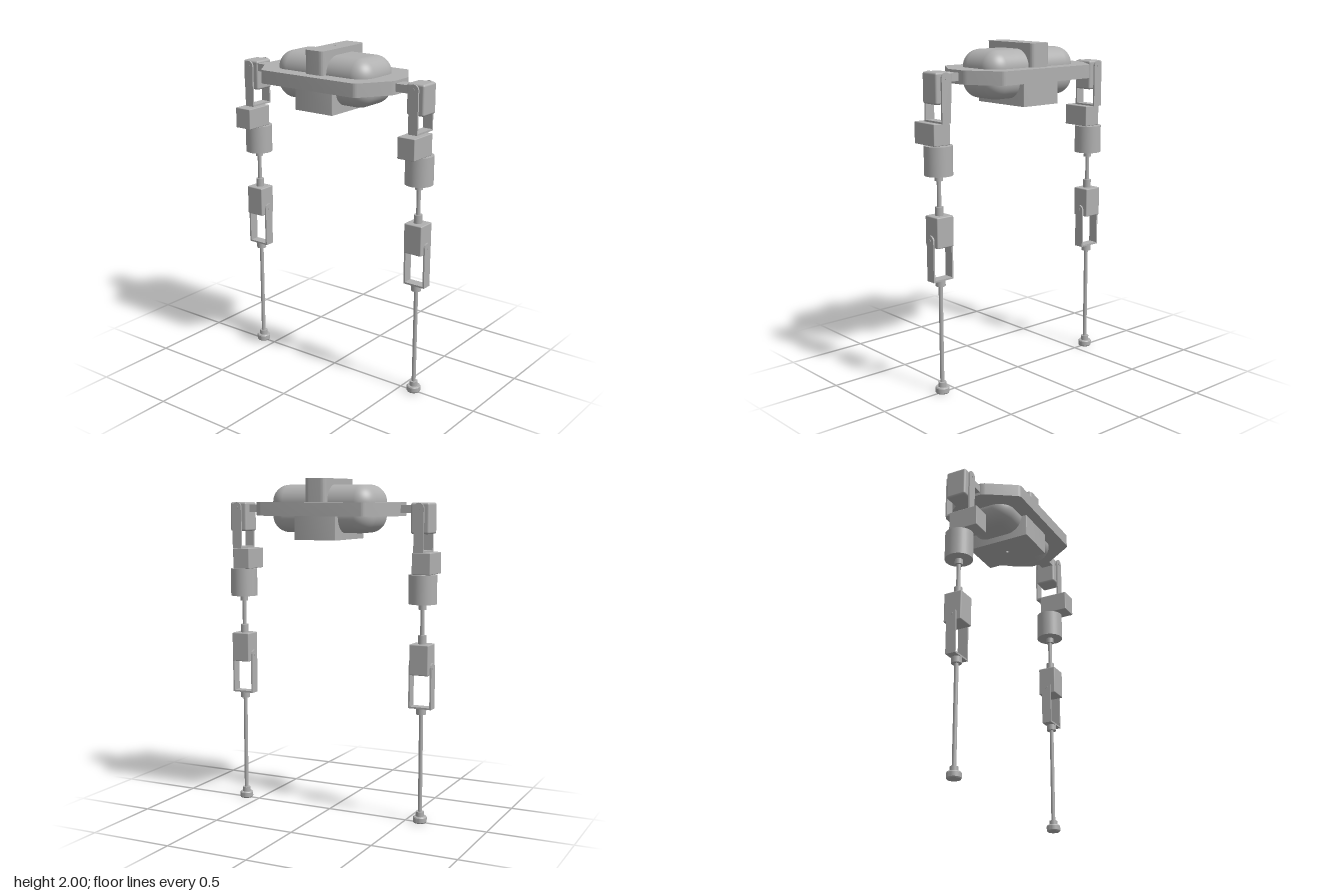
import * as THREE from 'three';
import { toCreasedNormals } from 'three/addons/utils/BufferGeometryUtils.js';
import { RoundedBoxGeometry } from 'three/addons/geometries/RoundedBoxGeometry.js';

const grey = new THREE.MeshStandardMaterial({ color: 0xb0b0b0 });
grey.name = 'grey';

function add(parent, name, geometry, x = 0, y = 0, z = 0) {
  const mesh = new THREE.Mesh(geometry, grey);
  mesh.name = name;
  mesh.position.set(x, y, z);
  parent.add(mesh);
  return mesh;
}

// Upright cylinder between two heights
function post(parent, name, r, y0, y1) {
  return add(parent, name, new THREE.CylinderGeometry(r, r, y1 - y0, 32), 0, (y0 + y1) / 2, 0);
}

// Closed outline with every corner rounded by r
function roundedOutline(points, r) {
  const shape = new THREE.Shape();
  const n = points.length;
  points.forEach((p, i) => {
    const c = new THREE.Vector2(...p);
    const before = new THREE.Vector2(...points[(i + n - 1) % n]);
    const after = new THREE.Vector2(...points[(i + 1) % n]);
    const a = before.sub(c).setLength(r).add(c);
    const b = after.sub(c).setLength(r).add(c);
    if (i === 0) shape.moveTo(a.x, a.y);
    else shape.lineTo(a.x, a.y);
    shape.quadraticCurveTo(c.x, c.y, b.x, b.y);
  });
  shape.closePath();
  return shape;
}

// Extrude an outline seen from above, from y0 up to y1
function slab(parent, name, points, r, y0, y1, holeRadius = 0) {
  const shape = roundedOutline(points, r);
  if (holeRadius) {
    const hole = new THREE.Path();
    hole.absarc(0, 0, holeRadius, 0, Math.PI * 2, true);
    shape.holes.push(hole);
  }
  const geo = new THREE.ExtrudeGeometry(shape, { depth: y1 - y0, bevelEnabled: false, curveSegments: 8 });
  geo.rotateX(-Math.PI / 2);
  return add(parent, name, toCreasedNormals(geo, 0.6), 0, y0, 0);
}

const rect = (x, z) => [[-x, -z], [x, -z], [x, z], [-x, z]];

// U-shaped strap: two round-topped arms at +-half, joined at the bottom
function bracket(parent, name, half, r, bottom, pivot) {
  const t = 0.01;
  const group = new THREE.Group();
  group.name = name;
  parent.add(group);
  const side = new THREE.Shape();
  side.moveTo(-r, bottom);
  side.lineTo(r, bottom);
  side.lineTo(r, pivot);
  side.absarc(0, pivot, r, 0, Math.PI, false);
  side.closePath();
  const arm = new THREE.ExtrudeGeometry(side, { depth: t, bevelEnabled: false, curveSegments: 16 });
  arm.translate(0, 0, -t / 2).rotateY(Math.PI / 2);
  const armGeo = toCreasedNormals(arm, 0.6);
  for (const s of [-1, 1]) {
    add(group, 'bracketArm', armGeo, s * (half - t / 2), 0, 0);
    // Pivot hub between the arm and the motor, with a small bolt head
    const hub = new THREE.CylinderGeometry(0.02, 0.02, 0.022, 24).rotateZ(Math.PI / 2);
    add(group, 'pivotHub', hub, s * (half - 0.014), pivot, 0);
    const bolt = new THREE.CylinderGeometry(0.009, 0.009, 0.004, 16).rotateZ(Math.PI / 2);
    add(group, 'pivotBolt', bolt, s * half, pivot, 0);
  }
  add(group, 'bracketBase', new THREE.BoxGeometry(half * 2, t, r * 2), 0, bottom + t / 2, 0);
  return group;
}

function createLeg() {
  const leg = new THREE.Group();

  // Hip: motor, hanging bracket and sideways motor
  add(leg, 'hipMotor', new RoundedBoxGeometry(0.125, 0.175, 0.112, 3, 0.012), 0, 1.775, 0);
  bracket(leg, 'hipBracket', 0.08, 0.03, 1.584, 1.832);
  add(leg, 'thighMotor', new RoundedBoxGeometry(0.18, 0.124, 0.112, 2, 0.004), -0.053, 1.519, 0);

  // Thigh: drum, rod and collars
  post(leg, 'thighDrum', 0.081, 1.29, 1.457);
  post(leg, 'drumCollar', 0.023, 1.258, 1.29);
  post(leg, 'thighRod', 0.012, 1.1, 1.26);
  post(leg, 'kneeCollar', 0.024, 1.06, 1.11);

  // Knee: motor and turned bracket
  add(leg, 'kneeMotor', new RoundedBoxGeometry(0.11, 0.178, 0.116, 2, 0.006), 0, 0.971, 0);
  bracket(leg, 'kneeBracket', 0.07, 0.03, 0.683, 0.922).rotation.y = Math.PI / 2;

  // Shin and foot
  post(leg, 'shinCollar', 0.029, 0.648, 0.683);
  post(leg, 'shinRod', 0.012, 0.06, 0.65);
  post(leg, 'ankleCollar', 0.024, 0.035, 0.066);
  const sole = [[0, 0], [0.037, 0], [0.041, 0.006], [0.041, 0.032], [0.037, 0.038], [0, 0.038]]
    .map((p) => new THREE.Vector2(...p));
  add(leg, 'foot', toCreasedNormals(new THREE.LatheGeometry(sole, 32), 0.5));
  return leg;
}

export function createModel() {
  const model = new THREE.Group();
  model.name = 'twoLeggedWalker';

  // Deck plate with tapered ends
  const deck = [[-0.07, -0.459], [0.07, -0.459], [0.262, -0.332], [0.262, 0.332],
    [0.07, 0.459], [-0.07, 0.459], [-0.262, 0.332], [-0.262, -0.332]];
  slab(model, 'deckPlate', deck, 0.02, 1.786, 1.864);

  // Soft capsule body and the clamps across it
  add(model, 'body', new RoundedBoxGeometry(0.33, 0.278, 0.658, 10, 0.1), 0, 1.826, 0);
  slab(model, 'topClamp', rect(0.198, 0.066), 0.03, 1.83, 2, 0.01);
  slab(model, 'bottomClamp', rect(0.198, 0.132), 0.005, 1.648, 1.82, 0.01);

  // Front and back legs with their mounting arms
  for (const s of [1, -1]) {
    const leg = createLeg();
    leg.name = s > 0 ? 'frontLeg' : 'backLeg';
    leg.position.z = s * 0.591;
    model.add(leg);
    add(model, 'mountingArm', new THREE.BoxGeometry(0.078, 0.045, 0.11), -0.018, 1.826, s * 0.495);
  }
  return model;
}
